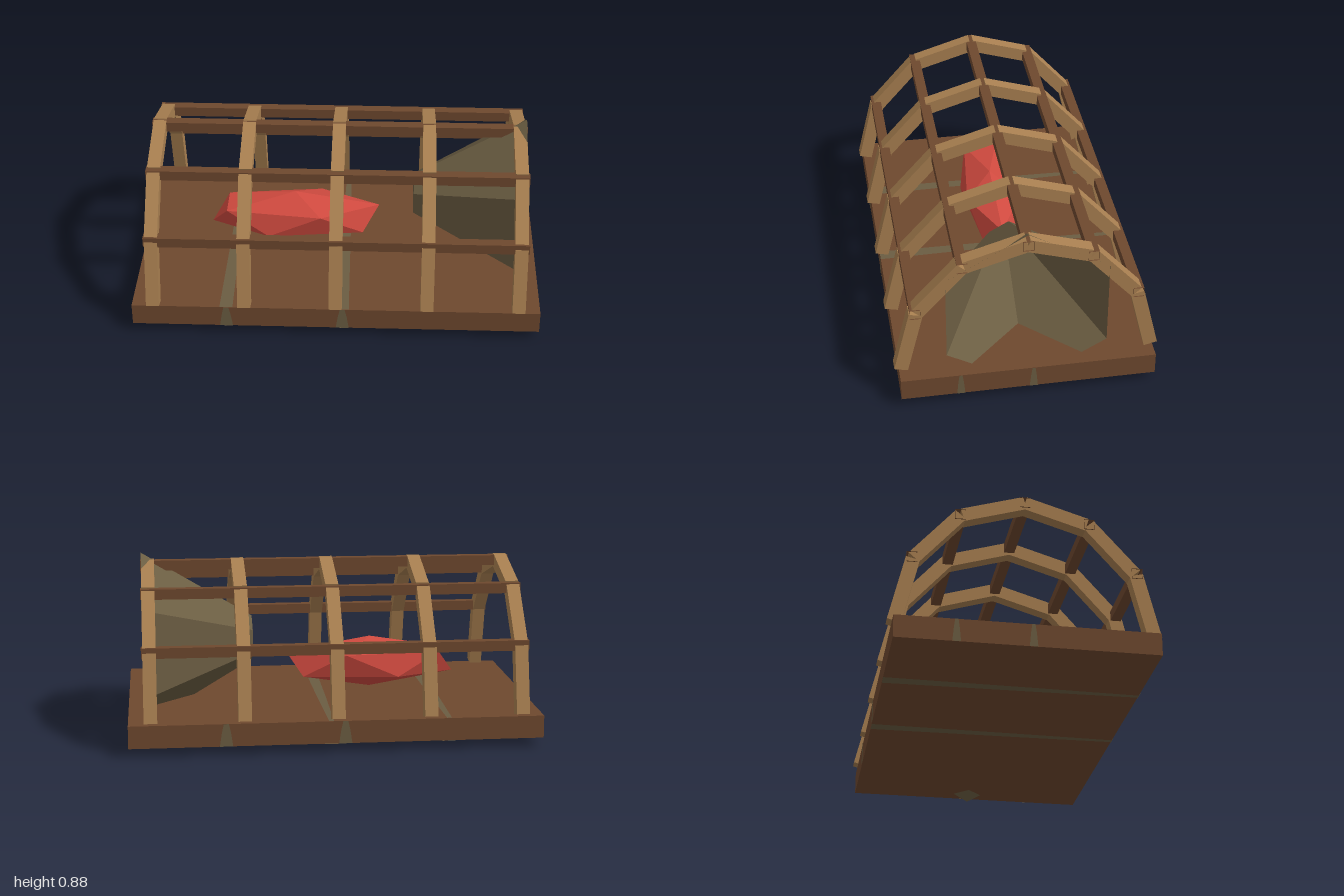
import * as THREE from 'three';
import { ConvexGeometry } from 'three/addons/geometries/ConvexGeometry.js';

const mat = (name, color, side = THREE.FrontSide) => {
  const m = new THREE.MeshStandardMaterial({ color, side });
  m.name = name;
  return m;
};

function flat(geometry) {
  const g = geometry.toNonIndexed();
  g.computeVertexNormals();
  return g;
}

export function createModel() {
  const model = new THREE.Group();
  model.name = 'trap';
  const darkWood = mat('dark wood', 0x6e482e, THREE.DoubleSide);
  const lightWood = mat('light wood', 0xa87f50);
  const netting = mat('olive netting', 0x6b5d42, THREE.DoubleSide);
  const red = mat('red', 0xd04a3f);

  const add = (name, geometry, material, parent = model) => {
    const mesh = new THREE.Mesh(geometry, material);
    mesh.name = name;
    parent.add(mesh);
    return mesh;
  };

  // Base board
  const W = 2, H = 0.11, D = 1.22, baseY = 0.102;
  add('base', new THREE.BoxGeometry(W, H, D), darkWood).position.y = baseY;

  // Two tapered olive stripes on each face of the base
  const stripes = (name, w, h, depth, rx, ry) => {
    const face = new THREE.Group();
    face.name = name;
    face.position.y = baseY;
    face.rotation.set(rx, ry, 0);
    for (const u of [-0.268, 0.017]) {
      const s = new THREE.Shape([
        [-0.016, -0.5], [0.016, -0.5], [0.011, 0.1], [0.006, 0.5], [-0.006, 0.5], [-0.011, 0.1],
      ].map(([x, y]) => new THREE.Vector2((u + x) * w, y * h)));
      add('stripe', new THREE.ShapeGeometry(s), netting, face).position.z = depth / 2 + 0.002;
    }
    model.add(face);
  };
  stripes('frontStripes', W, H, D, 0, 0);
  stripes('backStripes', W, H, D, 0, Math.PI);
  stripes('leftStripes', D, H, W, 0, Math.PI / 2);
  stripes('rightStripes', D, H, W, 0, -Math.PI / 2);
  stripes('topStripes', W, D, H, -Math.PI / 2, 0);
  stripes('bottomStripes', W, D, H, Math.PI / 2, 0);

  // Arched ribs, three straight pieces per side: [z, y] start and end
  const pieces = [
    [0.6, 0.165, 0.522, 0.487],
    [0.517, 0.493, 0.303, 0.735],
    [0.294, 0.735, 0, 0.825],
  ];
  for (let i = -2; i <= 2; i++) {
    const rib = new THREE.Group();
    rib.name = 'rib';
    rib.position.x = i * 0.4465;
    for (const side of [1, -1]) {
      for (const [z0, y0, z1, y1] of pieces) {
        const length = Math.hypot(z1 - z0, y1 - y0);
        const m = add('ribPiece', new THREE.BoxGeometry(0.064, length, 0.066), lightWood, rib);
        m.position.set(0, (y0 + y1) / 2, side * (z0 + z1) / 2);
        m.rotation.x = Math.atan2(side * (z1 - z0), y1 - y0);
      }
    }
    model.add(rib);
  }

  // Long hollow rails, open at the ends
  const railGeo = flat(new THREE.CylinderGeometry(0.0354, 0.0354, 1.862, 4, 1, true, Math.PI / 4)
    .rotateZ(Math.PI / 2));
  for (const [z, y] of [[0.526, 0.493], [0.305, 0.735], [0, 0.826], [-0.305, 0.735], [-0.526, 0.493]]) {
    add('rail', railGeo, darkWood).position.set(0, y, z);
  }

  // Six-sided entrance funnel, closed at its narrow end
  const funnel = new THREE.LatheGeometry([
    new THREE.Vector2(0.4425, -0.275), new THREE.Vector2(0.113, 0.275), new THREE.Vector2(0, 0.275),
  ], 6, Math.PI / 2).rotateZ(Math.PI / 2);
  add('entranceFunnel', flat(funnel), netting).position.set(0.651, 0.447, 0);

  // Stretched twelve-point float: two poles and two opposed five-point rings
  const points = [new THREE.Vector3(0, 0.13, 0), new THREE.Vector3(0, -0.13, 0)];
  for (const dir of [1, -1]) {
    for (let i = 0; i < 5; i++) {
      const a = i * Math.PI * 2 / 5;
      points.push(new THREE.Vector3(dir * 0.428 * Math.cos(a), dir * 0.058, 0.145 * Math.sin(a)));
    }
  }
  add('float', new ConvexGeometry(points), red).position.set(-0.225, 0.312, 0);

  return model;
}
